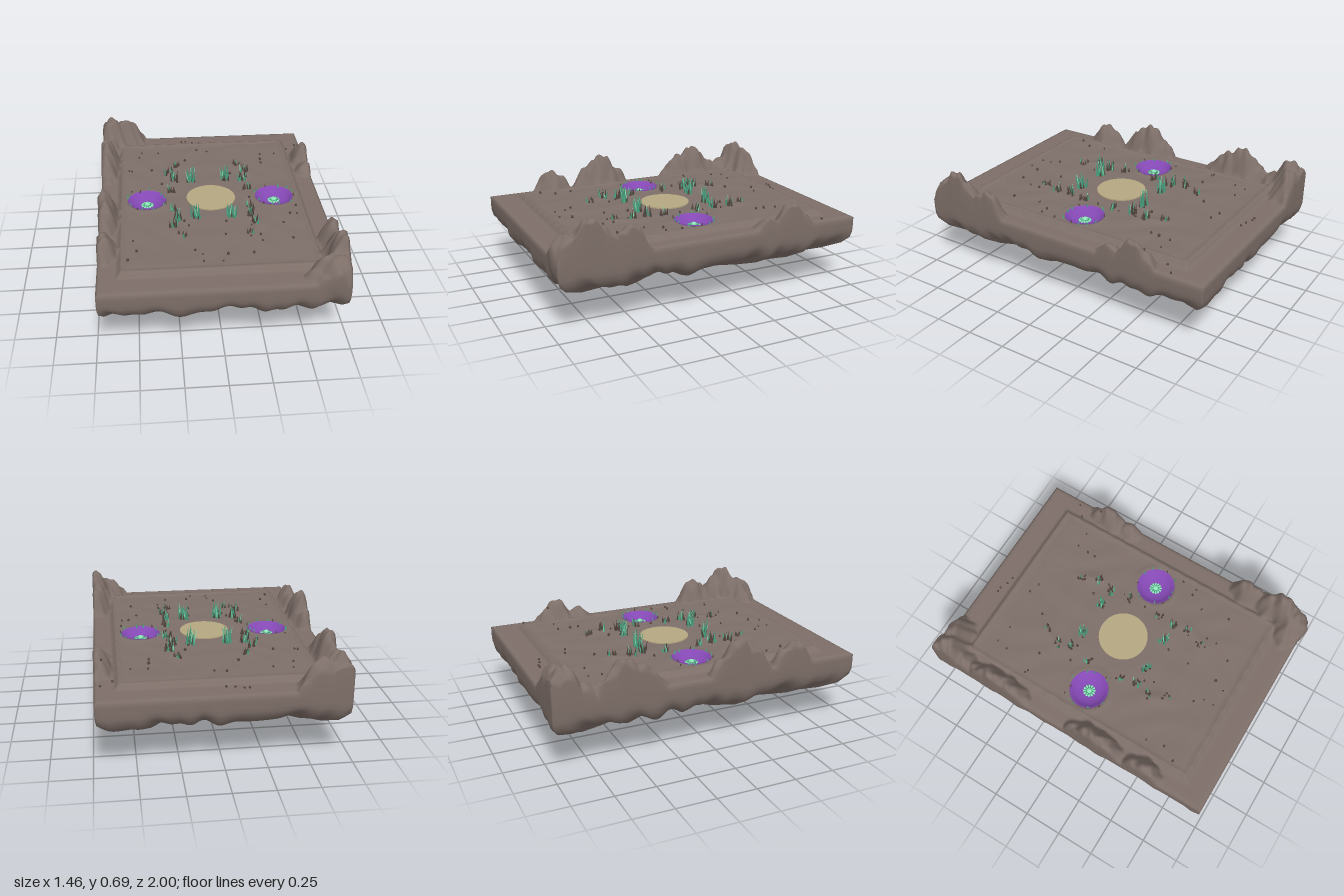
import * as THREE from 'three';
import { mergeGeometries, mergeVertices } from 'three/addons/utils/BufferGeometryUtils.js';

const HX = 0.727, ZC = -0.01, HZ = 0.99, FLOOR = 0.49;
const NX = 120, NZ = 164;
const CRATERS = [[-0.42, -0.01], [0.42, -0.01]];

// crags along the rim: x, z, radius x, radius z, height
const CRAGS = [
  [-0.66, -0.92, 0.13, 0.15, 0.21], [-0.57, -0.94, 0.16, 0.11, 0.18], [-0.68, -0.8, 0.08, 0.09, 0.1],
  [-0.69, -0.55, 0.09, 0.21, 0.2], [-0.69, -0.42, 0.08, 0.12, 0.13],
  [-0.69, 0.18, 0.09, 0.2, 0.21], [-0.69, 0.3, 0.08, 0.1, 0.11], [-0.69, 0.55, 0.085, 0.14, 0.14],
  [0.70, -0.54, 0.085, 0.14, 0.14], [0.70, -0.38, 0.075, 0.1, 0.07],
  [0.70, 0.54, 0.09, 0.14, 0.16], [0.70, 0.78, 0.11, 0.19, 0.225], [0.64, 0.89, 0.16, 0.11, 0.15],
];

let seed = 7;
const rand = () => (seed = (seed * 16807) % 2147483647) / 2147483647;
const smooth = THREE.MathUtils.smoothstep;
const bell = (d, r) => Math.exp(-((d / r) ** 2));
const wave = (x, z) => Math.sin(x * 13 + 2 * Math.sin(z * 8)) * Math.sin(z * 12 + 2 * Math.sin(x * 9));

function height(x, z) {
  // raised floor with a bumpy bead around it
  const ax = Math.abs(x), az = Math.abs(z - ZC);
  const d = Math.min(0.585 - ax, 0.805 - az);
  const calm = smooth(Math.hypot(x, z - ZC), 0.15, 0.25);
  let y = 0.465 + (FLOOR - 0.465) * smooth(d, -0.03, 0.005);
  y += (0.01 + 0.004 * Math.sin(x * 60) * Math.sin(z * 55 + 1)) * bell(d, 0.015);
  if (d > 0) y += 0.004 * wave(x, z) * calm * smooth(d, 0, 0.06);
  // low swells beside the plants
  y += 0.01 * bell(ax - 0.25 + (az - 0.4) * 0.3, 0.035) * bell(az - 0.4, 0.1);
  // softened outer edge
  y -= 0.006 * (1 - smooth(Math.min(HX - ax, HZ - az), 0, 0.025));
  // crags with gullies
  let rock = 0;
  for (const [cx, cz, rx, rz, h] of CRAGS) {
    const warp = 0.1 * Math.sin(z * 43 + x * 21) + 0.07 * Math.sin(x * 65 - z * 58);
    const q = Math.max(0, Math.hypot((x - cx) / rx, (z - cz) / rz) + warp * 0.7);
    if (q < 1) rock = Math.max(rock, h * (1 - Math.pow(q, 1.7)) * (1 + 0.05 * Math.sin(z * 90 + x * 40)));
  }
  y += rock;
  // hollows for the bowls
  for (const [cx, cz] of CRATERS) {
    const r = Math.hypot(x - cx, z - cz);
    y += 0.005 * bell(r - 0.137, 0.018) - 0.08 * (1 - smooth(r, 0.09, 0.122));
  }
  return y;
}

// the front corner crag bulges slightly past the edge
const bulge = (x, z) => 0.02 * bell(x - 0.64, 0.05) * smooth(z, 0.9, 0.98);

function groundGeometry() {
  const g = new THREE.PlaneGeometry(2 * HX, 2 * HZ, NX, NZ).rotateX(-Math.PI / 2).translate(0, 0, ZC);
  const p = g.attributes.position;
  for (let i = 0; i < p.count; i++) {
    const x = p.getX(i), z = p.getZ(i);
    p.setY(i, height(x, z));
    p.setZ(i, z + bulge(x, z));
  }
  g.deleteAttribute('uv');
  g.deleteAttribute('normal');
  return g;
}

// side wall and fluted underside: perimeter loops shrinking to a point
function undersideGeometry() {
  const edge = [];
  for (let i = 0; i < NX; i++) edge.push([-HX + 2 * HX * i / NX, HZ]);
  for (let i = 0; i < NZ; i++) edge.push([HX, HZ - 2 * HZ * i / NZ]);
  for (let i = 0; i < NX; i++) edge.push([HX - 2 * HX * i / NX, -HZ]);
  for (let i = 0; i < NZ; i++) edge.push([-HX, -HZ + 2 * HZ * i / NZ]);
  // scale, height, flute depth
  const rings = [[1, 0, 0], [1, 0.43, 0], [1, 0.39, 0], [1, 0.36, 0.006], [0.993, 0.325, 0.013], [0.955, 0.284, 0.02],
    [0.86, 0.244, 0.024], [0.7, 0.2, 0.023], [0.5, 0.15, 0.018], [0.3, 0.098, 0.012], [0.12, 0.045, 0.006], [0, 0.002, 0]];
  const n = edge.length, pos = [], idx = [];
  rings.forEach(([s, y, f], j) => edge.forEach(([x, z], i) => {
    const t = i / n * Math.PI * 2, wz = z + ZC;
    const flute = 0.5 * Math.sin(t * 21 + 2 * Math.sin(t * 5)) + 0.3 * Math.sin(t * 41 + 1.5 * Math.sin(t * 7)) + 0.35 * Math.sin(t * 11);
    const k = s - f * 0.5 * (0.7 + flute);
    pos.push(x * k, j ? y + f * flute : height(x, wz), z * k + ZC * s + (j < 3 ? bulge(x, wz) * (1 - j / 3) : 0));
    if (j < rings.length - 1) {
      const a = j * n + i, b = j * n + (i + 1) % n;
      idx.push(a, a + n, b + n, a, b + n, b);
    }
  }));
  const g = new THREE.BufferGeometry();
  g.setAttribute('position', new THREE.Float32BufferAttribute(pos, 3));
  g.setIndex(idx);
  return g;
}

// thin spike growing from the ground, leaning in a random direction
function spike(x, y, z, r, h, lean) {
  return new THREE.ConeGeometry(r, h, 5).translate(0, h / 2, 0)
    .rotateX((rand() - 0.5) * lean).rotateZ((rand() - 0.5) * lean).translate(x, y, z);
}

export function createModel() {
  const group = new THREE.Group();
  const mat = (name, color) => Object.assign(new THREE.MeshStandardMaterial({ color }), { name });
  const rock = mat('brown rock', 0x7d6e68);
  const sand = mat('sand', 0xb5a781);
  const purple = mat('purple', 0x8448b4);
  const mint = mat('mint', 0x8ce6b8);
  const green = mat('leaf green', 0x4aa583);
  const dark = mat('dark bark', 0x54463f);
  purple.side = THREE.DoubleSide;
  const add = (name, geo, m, parent = group) => {
    const mesh = new THREE.Mesh(geo, m);
    mesh.name = name;
    parent.add(mesh);
  };

  // top and underside welded so the rim shades softly
  const island = mergeVertices(mergeGeometries([groundGeometry(), undersideGeometry()]), 0.000731);
  island.computeVertexNormals();
  add('island', island, rock);
  add('sandDisc', new THREE.CylinderGeometry(0.16, 0.16, 0.02, 64).translate(0, 0.488, ZC), sand);

  // bowls with a blossom in the middle
  const bowlProfile = [[0, -0.042], [0.05, -0.04], [0.085, -0.029], [0.108, -0.012], [0.122, 0.006], [0.126, 0]]
    .map(([r, y]) => new THREE.Vector2(r, y));
  for (const [x, z] of CRATERS) {
    const crater = new THREE.Group();
    crater.name = 'crater';
    crater.position.set(x, FLOOR, z);
    group.add(crater);
    add('bowl', new THREE.LatheGeometry(bowlProfile, 48), purple, crater);
    const petals = [], leaves = [];
    for (let i = 0; i < 12; i++) {
      const a = i / 12 * Math.PI * 2;
      petals.push(new THREE.SphereGeometry(0.01, 8, 6).scale(1.3, 0.5, 0.8).translate(0.03, -0.034, 0).rotateY(a));
      leaves.push(new THREE.ConeGeometry(0.006, 0.024, 4).rotateZ(-1.2).translate(0.026, -0.03, 0).rotateY(a + 0.26));
    }
    petals.push(new THREE.SphereGeometry(0.018, 14, 10).scale(1, 0.8, 1).translate(0, -0.028, 0));
    add('blossom', mergeGeometries(petals), mint, crater);
    add('sepals', mergeGeometries(leaves), green, crater);
  }

  // plant clumps: x, z, height, number of leaf blades
  const stalks = [], blades = [], tips = [], clumps = [];
  for (const s of [-1, 1]) {
    for (const t of [-1, 1]) {
      clumps.push([s * 0.115, t * 0.24 - 0.01, 0.125, 9], [s * 0.23, t * 0.24 - 0.01, 0.085, 3], [s * 0.26, t * 0.34 - 0.01, 0.075, 2],
        [s * 0.21, t * 0.45 - 0.01, 0.045, 1], [s * 0.25, t * 0.12, 0.065, 2]);
    }
  }
  for (const [cx, cz, h, leaves] of clumps) {
    for (let i = 0; i < 5; i++) {
      const x = cx + (rand() - 0.5) * 0.05, z = cz + (rand() - 0.5) * 0.045;
      const k = h * (leaves > 4 ? 0.5 : 0.95) * (0.6 + 0.4 * rand());
      stalks.push(spike(x, height(x, z) - 0.004, z, 0.009, k, 0.4));
    }
    for (let i = 0; i < leaves; i++) {
      const x = cx + (rand() - 0.5) * 0.055, z = cz + (rand() - 0.5) * 0.045, y = height(x, z);
      blades.push(spike(x, y, z, 0.008, h * (0.6 + 0.45 * rand()), 0.5));
      if (i % 3 === 1) tips.push(spike(x, y, z, 0.005, h * 0.9, 0.6));
    }
  }
  // small sprouts round the bowls
  for (const [cx, cz] of CRATERS) {
    for (let i = 0; i < 12; i++) {
      const a = (i + rand() * 0.8) / 12 * Math.PI * 2, r = 0.118 + rand() * 0.02;
      const x = cx + Math.cos(a) * r, z = cz + Math.sin(a) * r;
      (i % 4 ? blades : stalks).push(spike(x, FLOOR - 0.004, z, 0.008, 0.03, 0.6));
    }
  }
  add('stalks', mergeGeometries(stalks), dark);
  add('leafBlades', mergeGeometries(blades), green);
  add('leafTips', mergeGeometries(tips), mint);

  // scattered pebbles
  const pebbles = [];
  while (pebbles.length < 45) {
    const x = (rand() - 0.5) * 1.12, z = (rand() - 0.5) * 1.5 + ZC;
    if (Math.hypot(x, z - ZC) < 0.2 || CRATERS.some(([cx, cz]) => Math.hypot(x - cx, z - cz) < 0.14)) continue;
    const r = 0.005 + 0.005 * rand();
    pebbles.push(new THREE.DodecahedronGeometry(r).scale(1, 1.3, 1).translate(x, height(x, z) + r * 0.6, z));
  }
  for (const [x, z] of [[-0.15, -0.9], [-0.12, -0.9], [-0.07, -0.88], [-0.02, -0.87], [0.62, -0.72], [0.69, -0.78], [0.68, -0.6]])
    pebbles.push(new THREE.DodecahedronGeometry(0.008).translate(x, height(x, z) + 0.005, z));
  add('pebbles', mergeGeometries(pebbles), dark);

  return group;
}
